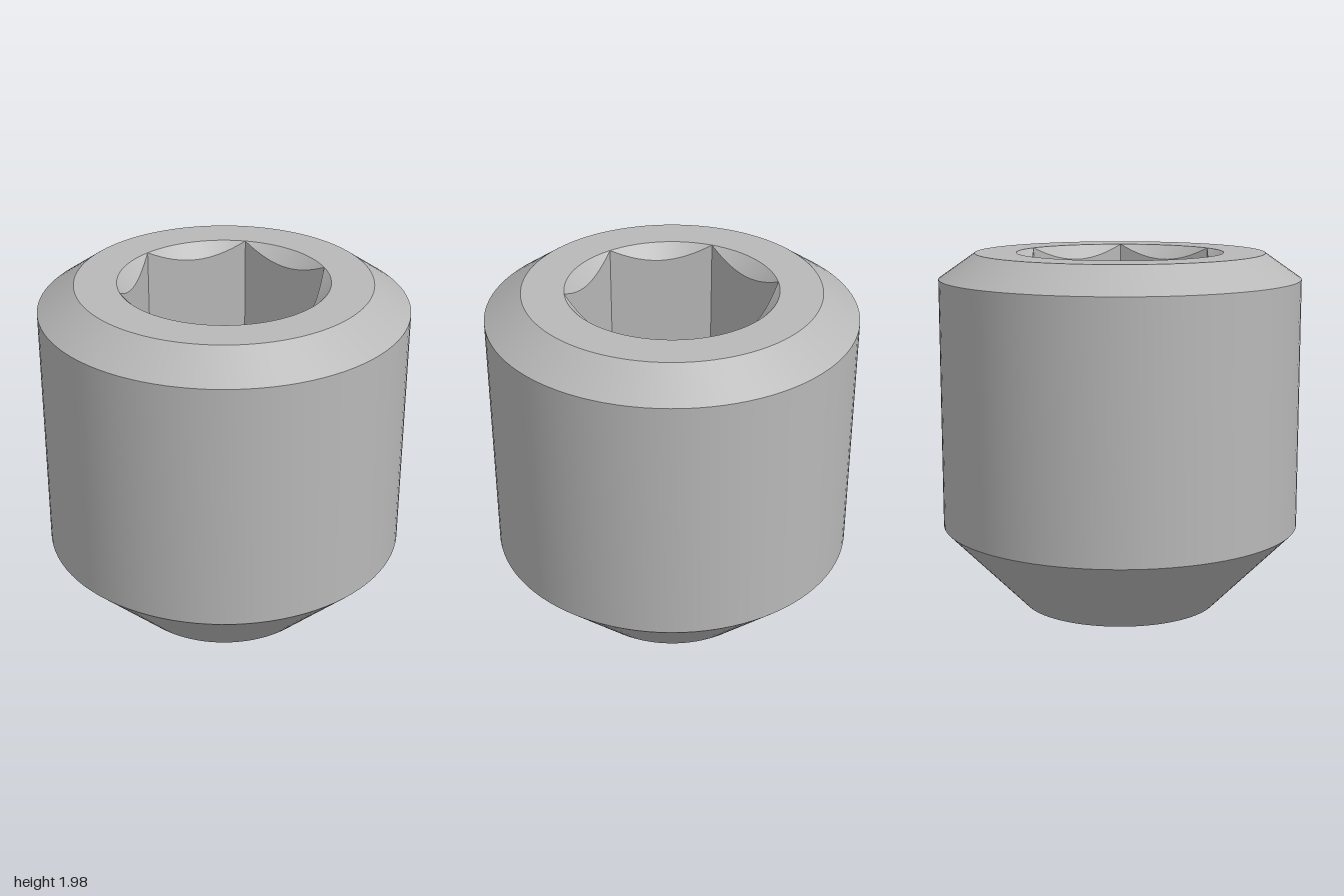
import * as THREE from 'three';
import { toCreasedNormals } from 'three/addons/utils/BufferGeometryUtils.js';

const SEGMENTS = 96;
const CREASE = 0.3;
const TOP = 1.98;
const FLOOR = 0.98;
const APOTHEM = 0.495;
const CORNER = APOTHEM / Math.cos(Math.PI / 6);

// distance from the axis to the hexagon wall at an angle, with corners on +z and -z
function hexRadius(i) {
  const side = SEGMENTS / 6;
  const a = ((i % side) / side) * (Math.PI / 3) - Math.PI / 6;
  return APOTHEM / Math.cos(a);
}

// skin closed loops; each loop is a function of the step giving [radius, height]
function loft(loops) {
  const point = (loop, i) => {
    const [r, y] = loop(i % SEGMENTS);
    const a = ((i % SEGMENTS) / SEGMENTS) * Math.PI * 2;
    return new THREE.Vector3(r * Math.sin(a), y, r * Math.cos(a));
  };
  const positions = [];
  const addTriangle = (a, b, c) => {
    if (new THREE.Triangle(a, b, c).getArea() < 1e-7) return;
    for (const p of [a, b, c]) positions.push(p.x, p.y, p.z);
  };
  for (let k = 0; k < loops.length - 1; k++) {
    for (let i = 0; i < SEGMENTS; i++) {
      const a = point(loops[k], i), b = point(loops[k], i + 1);
      const c = point(loops[k + 1], i + 1), d = point(loops[k + 1], i);
      addTriangle(a, b, c);
      addTriangle(a, c, d);
    }
  }
  const geometry = new THREE.BufferGeometry();
  geometry.setAttribute('position', new THREE.Float32BufferAttribute(positions, 3));
  return toCreasedNormals(geometry, CREASE);
}

export function createModel() {
  const group = new THREE.Group();
  group.name = 'setScrew';
  const steel = new THREE.MeshStandardMaterial({ color: 0xb8b8b8 });
  steel.name = 'steel grey';

  // turned body: flat point, lower cone, cylinder, top chamfer and rim
  const profile = [
    [0, 0], [0.55, 0], [1, 0.455], [1, 1.84], [0.8, TOP], [CORNER, TOP],
  ].map(([x, y]) => new THREE.Vector2(x, y));
  const body = new THREE.Mesh(
    toCreasedNormals(new THREE.LatheGeometry(profile, SEGMENTS), CREASE), steel);
  body.name = 'body';
  group.add(body);

  // hexagon socket: countersink, six walls, floor corners and drill-point cone
  const socket = new THREE.Mesh(loft([
    () => [CORNER, TOP],
    (i) => [hexRadius(i), TOP - (CORNER - hexRadius(i))],
    (i) => [hexRadius(i), FLOOR],
    () => [APOTHEM, FLOOR],
    () => [0, FLOOR - APOTHEM * Math.tan(Math.PI / 6)],
  ]), steel);
  socket.name = 'hexSocket';
  group.add(socket);

  return group;
}
